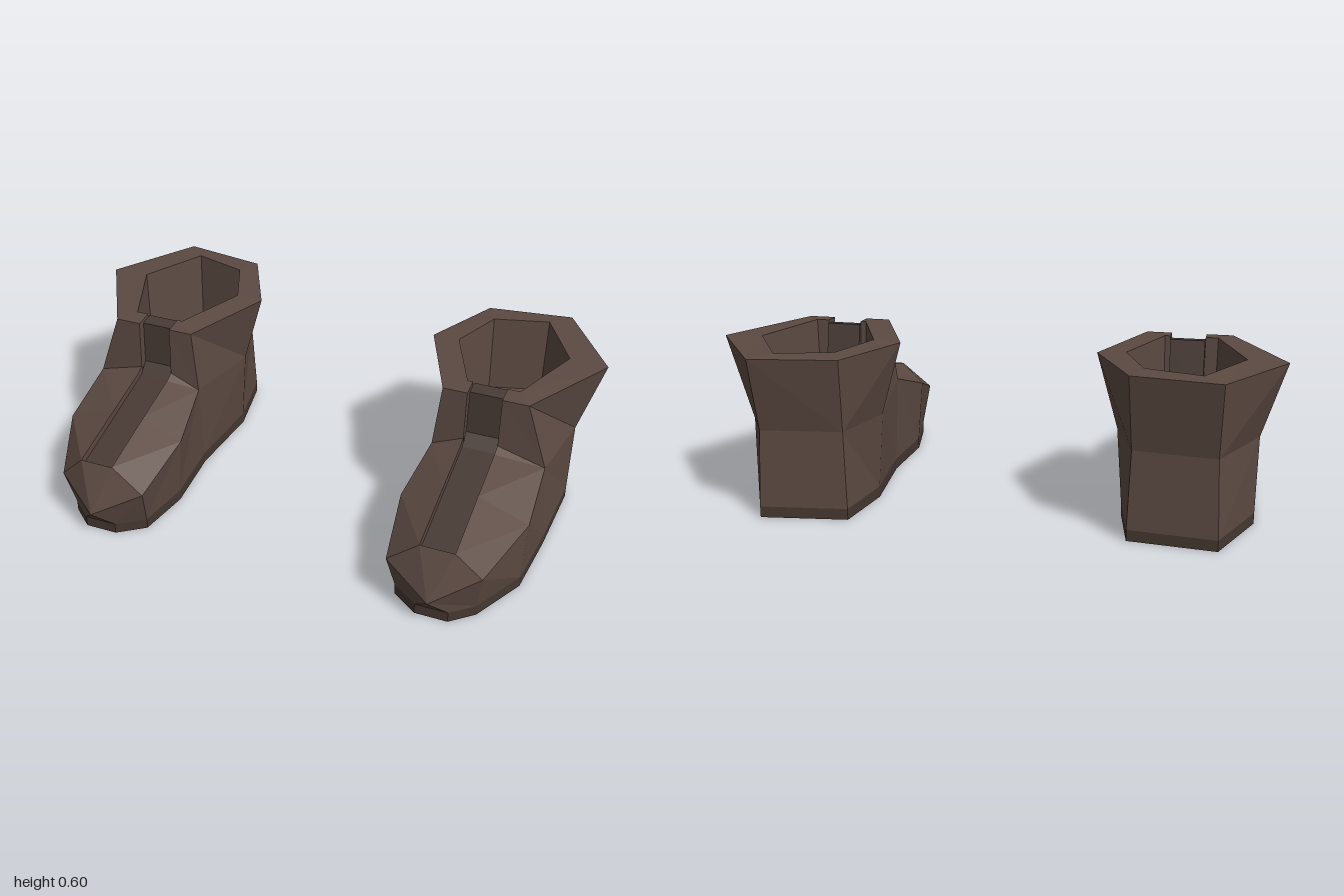
import * as THREE from 'three';

const leather = new THREE.MeshStandardMaterial({ color: 0x5c4a42, flatShading: true, side: THREE.DoubleSide });
const soleMat = new THREE.MeshStandardMaterial({ color: 0x453730, flatShading: true, side: THREE.DoubleSide });
const tongueMat = new THREE.MeshStandardMaterial({ color: 0x473a34, flatShading: true, side: THREE.DoubleSide });

// Collects faceted strips between rows of points
class Facets {
  pos = [];
  tri(a, b, c) {
    if (a !== b && b !== c && a !== c) this.pos.push(...a, ...b, ...c);
  }
  // flip chooses the other diagonal of each quad
  strip(lo, hi, flip = false) {
    for (let i = 0; i < lo.length - 1; i++) {
      const [a, b, c, d] = [lo[i], hi[i], hi[i + 1], lo[i + 1]];
      if (flip) { this.tri(a, b, d); this.tri(b, c, d); }
      else { this.tri(a, b, c); this.tri(a, c, d); }
    }
    return this;
  }
  mesh(name, material) {
    const g = new THREE.BufferGeometry();
    g.setAttribute('position', new THREE.Float32BufferAttribute(this.pos, 3));
    g.computeVertexNormals();
    const m = new THREE.Mesh(g, material);
    m.name = name;
    return m;
  }
}

const close = ring => [...ring, ring[0]];
const level = (outline, y) => outline.map(([x, z]) => [x, y, z]);

// Sole outline (x, z): outer heel, along the outside to the toe, back along the inside
const soleOutline = [
  [0.80, -0.565], [0.91, -0.29], [0.90, 0.02], [0.88, 0.28], [0.78, 0.48], [0.70, 0.55],
  [0.58, 0.55], [0.485, 0.48], [0.45, 0.28], [0.47, 0.02], [0.445, -0.29], [0.49, -0.53],
];

function makeSole() {
  const bottom = close(level(soleOutline, 0));
  const centre = [0.66, 0, 0];
  return new Facets()
    .strip(bottom.map(() => centre), bottom)
    .strip(bottom, close(level(soleOutline, 0.04)))
    .mesh('sole', soleMat);
}

function makeUpper() {
  const f = new Facets();
  const xo = 0.705, xi = 0.58; // edges of the tongue channel

  // Widest line of the foot and ankle
  const tip = [0.64, 0.11, 0.61];
  const heelO = [0.79, 0.32, -0.555], sideO = [0.915, 0.32, -0.29], stepO = [0.88, 0.355, 0.05];
  const ballO = [0.89, 0.275, 0.28], toeO = [0.80, 0.19, 0.515];
  const heelI = [0.50, 0.32, -0.52], sideI = [0.425, 0.32, -0.29], stepI = [0.465, 0.355, 0.05];
  const ballI = [0.43, 0.275, 0.28], toeI = [0.465, 0.19, 0.53];
  const girth = [heelO, sideO, stepO, ballO, toeO, tip, tip, toeI, ballI, stepI, sideI, heelI];
  f.strip(close(level(soleOutline, 0.04)), close(girth));

  // Top of the foot, up to the channel edges, and the toe cap
  const edge = x => [[x, 0.405, 0.05], [x, 0.39, 0.085], [x, 0.345, 0.28], [x, 0.285, 0.53]];
  const eo = edge(xo), ei = edge(xi);
  f.strip([stepO, stepO, ballO, toeO], eo);
  f.strip([toeI, ballI, stepI, stepI], [...ei].reverse(), true);
  f.strip([toeO, tip, tip, toeI], [eo[3], eo[3], ei[3], ei[3]]);

  // Shaft flaring to the rim
  const rimO = [[0.80, 0.59, -0.615], [1.0, 0.59, -0.31], [0.80, 0.59, 0.04]];
  const rimI = [[0.49, 0.59, 0.04], [0.35, 0.59, -0.295], [0.49, 0.59, -0.57]];
  f.strip([heelO, sideO, stepO], rimO);
  f.strip([stepI, sideI, heelI], rimI, true);
  f.strip([heelI, heelO], [rimI[2], rimO[0]]);

  // Front panels beside the tongue
  const topO = [xo, 0.59, 0.04], topI = [xi, 0.59, 0.04];
  f.strip([stepO, eo[0]], [rimO[2], topO]);
  f.strip([ei[0], stepI], [topI, rimI[0]], true);

  // Thick rim, notched for the tongue, and the hollow inside
  const outer = [topI, ...rimI, ...rimO, topO];
  const inner = level([
    [xi, -0.03], [0.56, -0.03], [0.45, -0.29], [0.53, -0.485],
    [0.73, -0.54], [0.86, -0.31], [0.75, -0.03], [xo, -0.03],
  ], 0.595);
  const floor = inner.map(([x, , z]) => [0.655 + (x - 0.655) * 0.96, 0.3, z * 0.97]);
  const floorCentre = [0.655, 0.3, -0.28];
  f.strip(outer, inner).strip(inner, floor);
  f.strip(close(floor), close(floor).map(() => floorCentre));

  // Channel walls
  for (const [x, e, top] of [[xo, eo, topO], [xi, ei, topI]]) {
    f.strip(e, e.map(([, y, z]) => [x, y - 0.06, z - 0.02]));
    f.strip([e[0], [x, 0.35, -0.03]], [top, [x, 0.595, -0.03]]);
  }
  f.strip([eo[3], ei[3]], [[xo, 0.24, 0.52], [xi, 0.24, 0.52]]);
  return f.mesh('upper', leather);
}

// Tongue: a side profile (z, y) extruded across the channel
function makeTongue() {
  const profile = [
    [0.012, 0.578], [0.02, 0.415], [0.06, 0.375], [0.28, 0.32], [0.52, 0.26],
    [0.5, 0.22], [0.05, 0.3], [-0.10, 0.3], [-0.04, 0.585],
  ];
  const shape = new THREE.Shape(profile.map(([z, y]) => new THREE.Vector2(-z, y)));
  const g = new THREE.ExtrudeGeometry(shape, { depth: 0.123, bevelEnabled: false });
  g.rotateY(Math.PI / 2).translate(0.581, 0, 0);
  const m = new THREE.Mesh(g, tongueMat);
  m.name = 'tongue';
  return m;
}

export function createModel() {
  const model = new THREE.Group();
  model.name = 'boots';
  for (const side of [1, -1]) {
    const boot = new THREE.Group();
    boot.name = side > 0 ? 'leftBoot' : 'rightBoot';
    boot.add(makeSole(), makeUpper(), makeTongue());
    boot.scale.x = side;
    model.add(boot);
  }
  return model;
}
